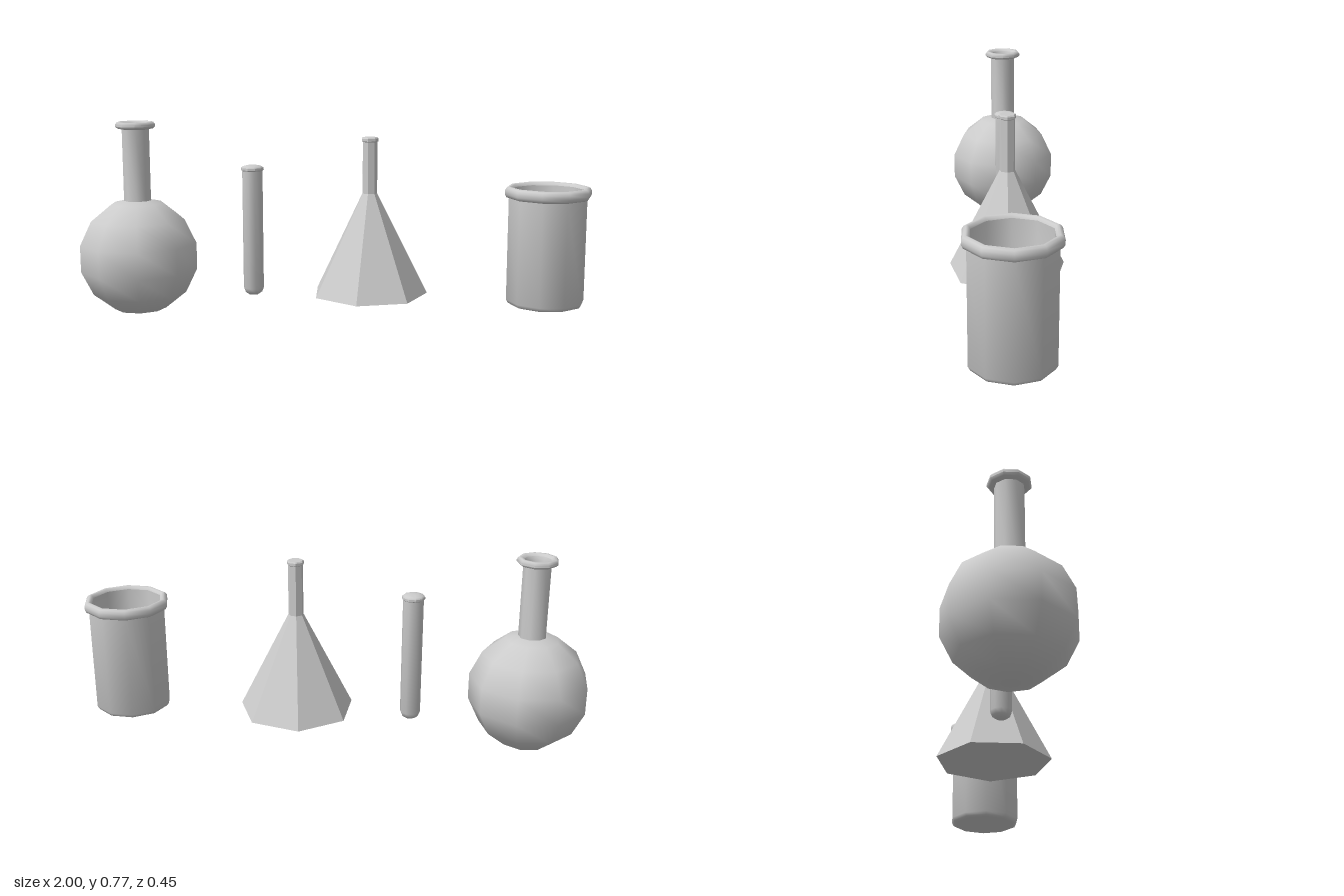
import * as THREE from 'three';
import { toCreasedNormals } from 'three/addons/utils/BufferGeometryUtils.js';

// Turns a profile of [radius, y] pairs, listed from the bottom outside upwards.
function turned(name, profile, sides, x, flat = false) {
  const points = profile.map(([r, y]) => new THREE.Vector2(r, y));
  const lathe = new THREE.LatheGeometry(points, sides, Math.PI / 2);
  const geometry = flat ? lathe : toCreasedNormals(lathe, 0.95);
  const material = new THREE.MeshStandardMaterial({ color: 0xcccccc, flatShading: flat });
  const mesh = new THREE.Mesh(geometry, material);
  mesh.name = name;
  mesh.position.x = x;
  return mesh;
}

function group(name, ...parts) {
  const g = new THREE.Group();
  g.name = name;
  g.add(...parts);
  return g;
}

// Round-bottomed flask: coarse sphere, straight neck, rolled lip
function roundFlask(x) {
  const R = 0.235, cy = 0.237, rings = 7;
  const bulb = [];
  for (let i = 0; i <= rings; i++) {
    const a = (i / rings) * Math.PI;
    bulb.push([R * Math.sin(a), cy - R * Math.cos(a)]);
  }
  const neck = [[0.053, 0.45], [0.053, 0.742]];
  const lip = [
    [0.053, 0.74], [0.07, 0.744], [0.078, 0.752], [0.078, 0.76],
    [0.071, 0.769], [0.06, 0.769], [0.052, 0.76],
  ];
  const inside = [[0.052, 0.76], [0.046, 0.745], [0.046, 0.5], [0.032, 0.482], [0, 0.475]];
  return group('roundFlask',
    turned('flaskBulb', bulb, 9, x),
    turned('flaskNeck', neck, 9, x),
    turned('flaskLip', lip, 9, x),
    turned('flaskNeckInside', inside, 9, x));
}

// Slim test tube with a rounded foot and a domed cap
function testTube(x) {
  const body = [
    [0, 0.08], [0.02, 0.083], [0.033, 0.092], [0.04, 0.11], [0.04, 0.58],
  ];
  const cap = [
    [0.04, 0.578], [0.045, 0.582], [0.045, 0.59], [0.038, 0.596], [0.02, 0.6], [0, 0.601],
  ];
  return group('testTube',
    turned('tubeBody', body, 10, x),
    turned('tubeCap', cap, 10, x));
}

// Faceted conical flask
function conicalFlask(x) {
  const cone = [[0, 0.09], [0.231, 0.09], [0.03, 0.49]];
  const neck = [[0.03, 0.488], [0.03, 0.694]];
  const rim = [
    [0.03, 0.692], [0.034, 0.695], [0.034, 0.705], [0.03, 0.71], [0, 0.71],
  ];
  return group('conicalFlask',
    turned('cone', cone, 7, x, true),
    turned('coneNeck', neck, 7, x, true),
    turned('coneRim', rim, 7, x, true));
}

// Open beaker with a thick rolled rim
function beaker(x) {
  const wall = [
    [0, 0.045], [0.132, 0.045], [0.146, 0.05], [0.154, 0.064], [0.154, 0.474],
  ];
  const rim = [
    [0.154, 0.472], [0.164, 0.476], [0.17, 0.487], [0.17, 0.503],
    [0.164, 0.513], [0.155, 0.518], [0.147, 0.515], [0.141, 0.505],
  ];
  const inside = [[0.141, 0.505], [0.141, 0.11], [0.13, 0.08], [0.1, 0.066], [0, 0.062]];
  return group('beaker',
    turned('beakerWall', wall, 10, x),
    turned('beakerRim', rim, 10, x),
    turned('beakerInside', inside, 10, x));
}

export function createModel() {
  return group('glassware',
    roundFlask(-0.785), testTube(-0.33), conicalFlask(0.13), beaker(0.83));
}
